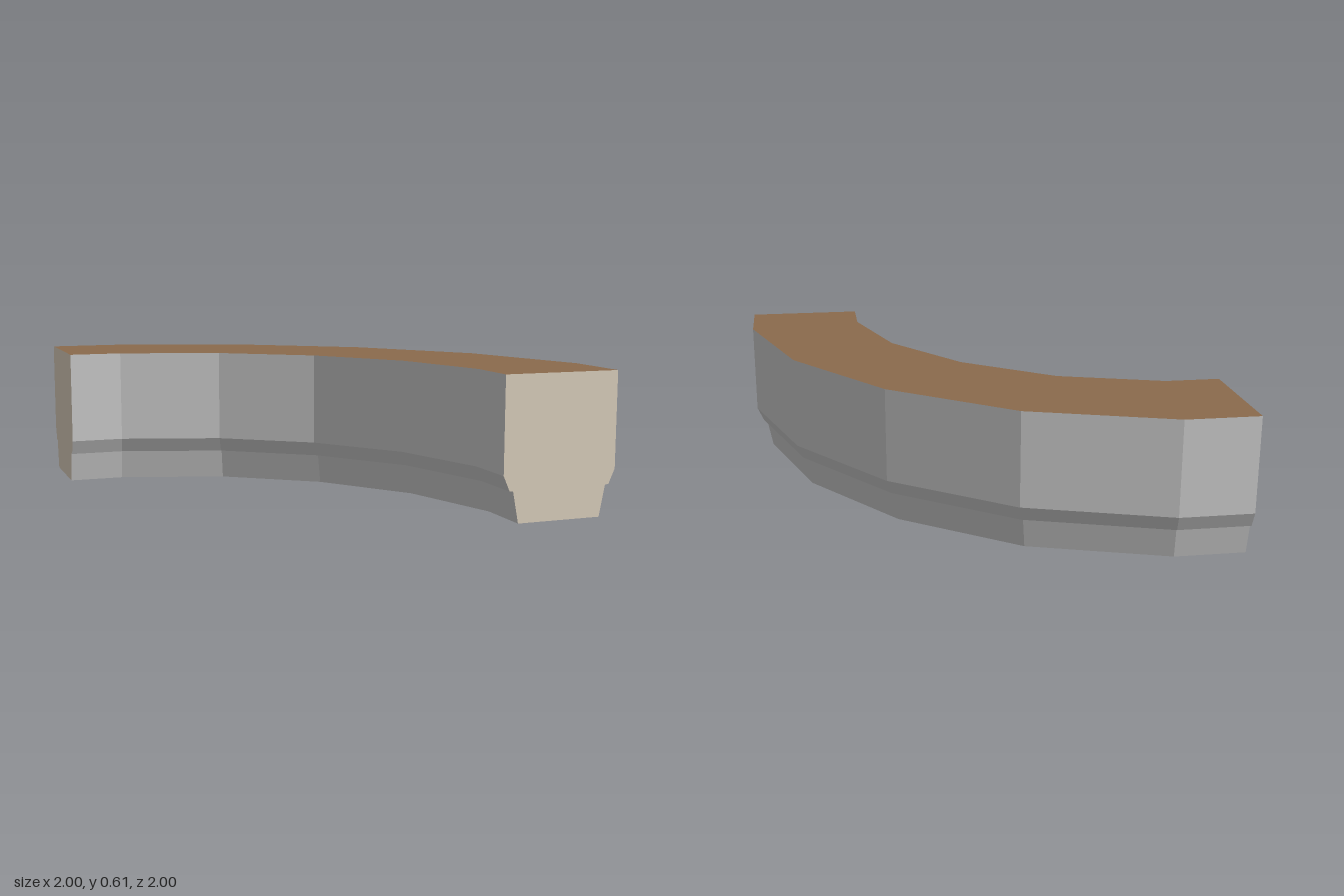
import * as THREE from 'three';

// Plan of the curved run: outer and inner mitre corners (x, z)
const OUTER = [[-1, -1], [-0.685, -1], [-0.08, -0.805], [0.43, -0.43], [0.805, 0.08], [1, 0.685], [1, 1]];
const INNER = [[-1, -0.48], [-0.765, -0.48], [-0.32, -0.34], [0.06, -0.06], [0.34, 0.32], [0.48, 0.765], [0.48, 1]];

// Section levels from top to bottom: [height, inset from each side as a share of the width]
const LEVELS = [[0.61, 0], [0.2, 0], [0.135, 0.055], [0.135, 0.085], [0, 0.135]];

// Point on the section at station k, level i, on the outer (0) or inner (1) side
function point(k, i, side) {
  const [y, inset] = LEVELS[i];
  const t = side ? 1 - inset : inset;
  const [ox, oz] = OUTER[k], [ix, iz] = INNER[k];
  return [ox + (ix - ox) * t, y, oz + (iz - oz) * t];
}

// Mesh from a list of four-cornered faces, corners counter-clockwise
function quadMesh(name, color, quads) {
  const positions = quads.flatMap(([a, b, c, d]) => [a, b, c, a, c, d].flat());
  const geometry = new THREE.BufferGeometry();
  geometry.setAttribute('position', new THREE.Float32BufferAttribute(positions, 3));
  geometry.computeVertexNormals();
  const mesh = new THREE.Mesh(geometry, new THREE.MeshStandardMaterial({ color, flatShading: true }));
  mesh.name = name;
  return mesh;
}

export function createModel() {
  const group = new THREE.Group();
  group.name = 'curvedCounter';
  const bottom = LEVELS.length - 1, end = OUTER.length - 1;
  const outerWall = [], innerWall = [], top = [], base = [];

  // Sweep the section from station to station
  for (let k = 0; k < end; k++) {
    for (let i = 0; i < bottom; i++) {
      outerWall.push([point(k, i, 0), point(k + 1, i, 0), point(k + 1, i + 1, 0), point(k, i + 1, 0)]);
      innerWall.push([point(k + 1, i, 1), point(k, i, 1), point(k, i + 1, 1), point(k + 1, i + 1, 1)]);
    }
    top.push([point(k, 0, 1), point(k + 1, 0, 1), point(k + 1, 0, 0), point(k, 0, 0)]);
    base.push([point(k, bottom, 0), point(k + 1, bottom, 0), point(k + 1, bottom, 1), point(k, bottom, 1)]);
  }

  // Close each end with one strip per level
  const endCap = (k) => {
    const quads = [];
    for (let i = 0; i < bottom; i++) {
      if (LEVELS[i][0] === LEVELS[i + 1][0]) continue;
      const quad = [point(k, i, 0), point(k, i, 1), point(k, i + 1, 1), point(k, i + 1, 0)];
      quads.push(k === 0 ? quad.reverse() : quad);
    }
    return quads;
  };

  group.add(
    quadMesh('outerWall', 0xcccccc, outerWall),
    quadMesh('innerWall', 0xcccccc, innerWall),
    quadMesh('base', 0xcccccc, base),
    quadMesh('countertop', 0x8b6b4d, top),
    quadMesh('backEndPanel', 0xddd1bf, endCap(0)),
    quadMesh('frontEndPanel', 0xddd1bf, endCap(end)),
  );
  return group;
}
